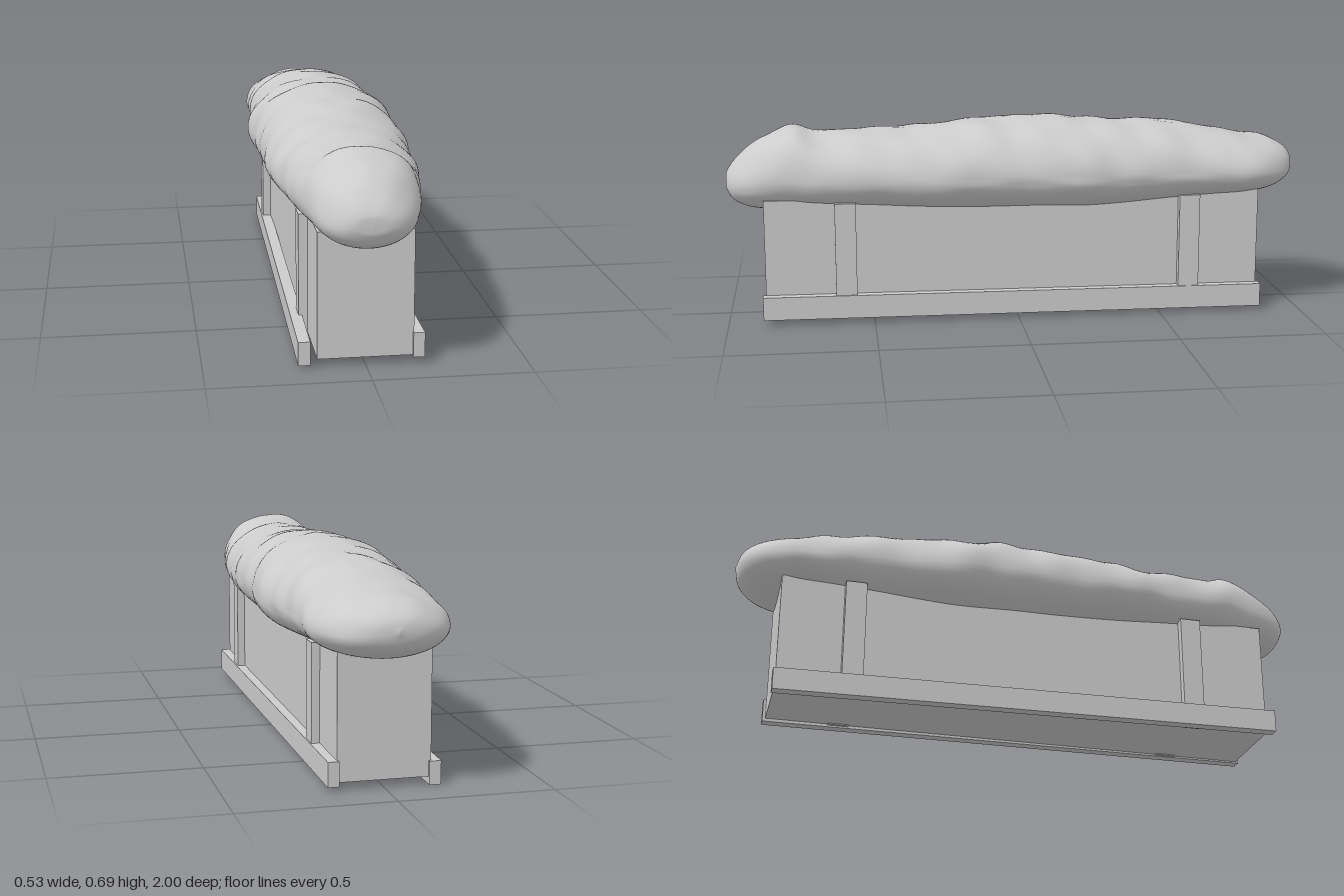
import * as THREE from 'three';

const grey = new THREE.MeshStandardMaterial({ color: 0xcccccc });

// Box given by its limits on each axis
function slab(name, x0, x1, y0, y1, z0, z1) {
  const mesh = new THREE.Mesh(new THREE.BoxGeometry(x1 - x0, y1 - y0, z1 - z0), grey);
  mesh.position.set((x0 + x1) / 2, (y0 + y1) / 2, (z0 + z1) / 2);
  mesh.name = name;
  return mesh;
}

// Hedge stations from front to back: z, half width, top, bottom
const stations = [
  [1.0, 0.0, 0.49, 0.47], [0.995, 0.06, 0.515, 0.445], [0.97, 0.105, 0.55, 0.41],
  [0.92, 0.142, 0.595, 0.388], [0.86, 0.165, 0.63, 0.38], [0.77, 0.186, 0.662, 0.38],
  [0.68, 0.202, 0.645, 0.382], [0.5, 0.225, 0.65, 0.38], [0.32, 0.243, 0.655, 0.373],
  [0.12, 0.248, 0.677, 0.366], [-0.05, 0.249, 0.684, 0.365], [-0.23, 0.262, 0.674, 0.365],
  [-0.36, 0.243, 0.668, 0.367], [-0.52, 0.228, 0.658, 0.378], [-0.68, 0.222, 0.638, 0.39],
  [-0.8, 0.22, 0.612, 0.4], [-0.89, 0.187, 0.6, 0.412], [-0.95, 0.14, 0.577, 0.435],
  [-0.985, 0.08, 0.55, 0.465], [-1.0, 0.0, 0.515, 0.505],
];

// Smooth foliage lumps, fading out on the underside
function lumps(z, a) {
  const upper = THREE.MathUtils.smoothstep(Math.sin(a), -0.7, 0.4);
  const c = Math.abs(Math.cos(a));
  return upper * (0.022 * Math.sin(17 * z + 5 * c) * Math.sin(3.2 * a + 2 * z)
    + 0.016 * Math.sin(29 * z + 1.3) * Math.cos(4 * c + 1)
    + 0.01 * Math.sin(41 * z - 3 * a));
}

function hedgeGeometry(rows = 180, sides = 72) {
  const size = new THREE.CatmullRomCurve3(
    stations.map(([, w, t, b]) => new THREE.Vector3(w, t, b)), false, 'catmullrom', 0.5);
  const along = new THREE.CatmullRomCurve3(
    stations.map(([z]) => new THREE.Vector3(0, 0, z)), false, 'catmullrom', 0.5);
  const positions = [], index = [];
  for (let i = 0; i <= rows; i++) {
    const { x: w, y: top, z: bottom } = size.getPoint(i / rows);
    const z = along.getPoint(i / rows).z;
    const mid = bottom + (top - bottom) * 0.43;
    for (let j = 0; j < sides; j++) {
      const a = (j / sides) * Math.PI * 2;
      const s = Math.sin(a);
      const k = 1 + lumps(z, a);
      positions.push(w * Math.cos(a) * k, mid + s * (s > 0 ? top - mid : mid - bottom) * k, z);
      if (i < rows) {
        const n = (j + 1) % sides;
        const p = i * sides + j, q = i * sides + n;
        index.push(p, p + sides, q, q, p + sides, q + sides);
      }
    }
  }
  const geometry = new THREE.BufferGeometry();
  geometry.setAttribute('position', new THREE.Float32BufferAttribute(positions, 3));
  geometry.setIndex(index);
  geometry.computeVertexNormals();
  return geometry;
}

// Rail running front to back, with its back end shifted sideways and down
function rail(name, x0, x1, y0, y1, shiftX, shiftY) {
  const mesh = slab(name, x0, x1, y0, y1, -0.86, 0.88);
  const p = mesh.geometry.attributes.position;
  for (let i = 0; i < p.count; i++) {
    if (p.getZ(i) < 0) p.setXYZ(i, p.getX(i) + shiftX, p.getY(i) + shiftY, p.getZ(i));
  }
  mesh.geometry.computeVertexNormals();
  return mesh;
}

export function createModel() {
  const group = new THREE.Group();
  group.name = 'hedgePlanter';

  const hedge = new THREE.Mesh(hedgeGeometry(), grey);
  hedge.name = 'hedge';
  group.add(hedge);

  // Planter trough, its rim buried in the hedge
  group.add(slab('trough', -0.15, 0.15, 0.025, 0.43, -0.85, 0.87));

  // Upright battens on both long sides
  for (const z of [0.595, -0.6]) {
    group.add(slab('leftBatten', 0.135, 0.177, 0.021, 0.42, z - 0.036, z + 0.036));
    group.add(slab('rightBatten', -0.179, -0.135, 0.021, 0.42, z - 0.036, z + 0.036));
  }

  // Base rails, slightly askew
  group.add(rail('leftRail', 0.147, 0.183, 0.02, 0.1, -0.002, -0.006));
  group.add(rail('rightRail', -0.21, -0.172, 0.01, 0.086, 0.03, -0.01));
  return group;
}
